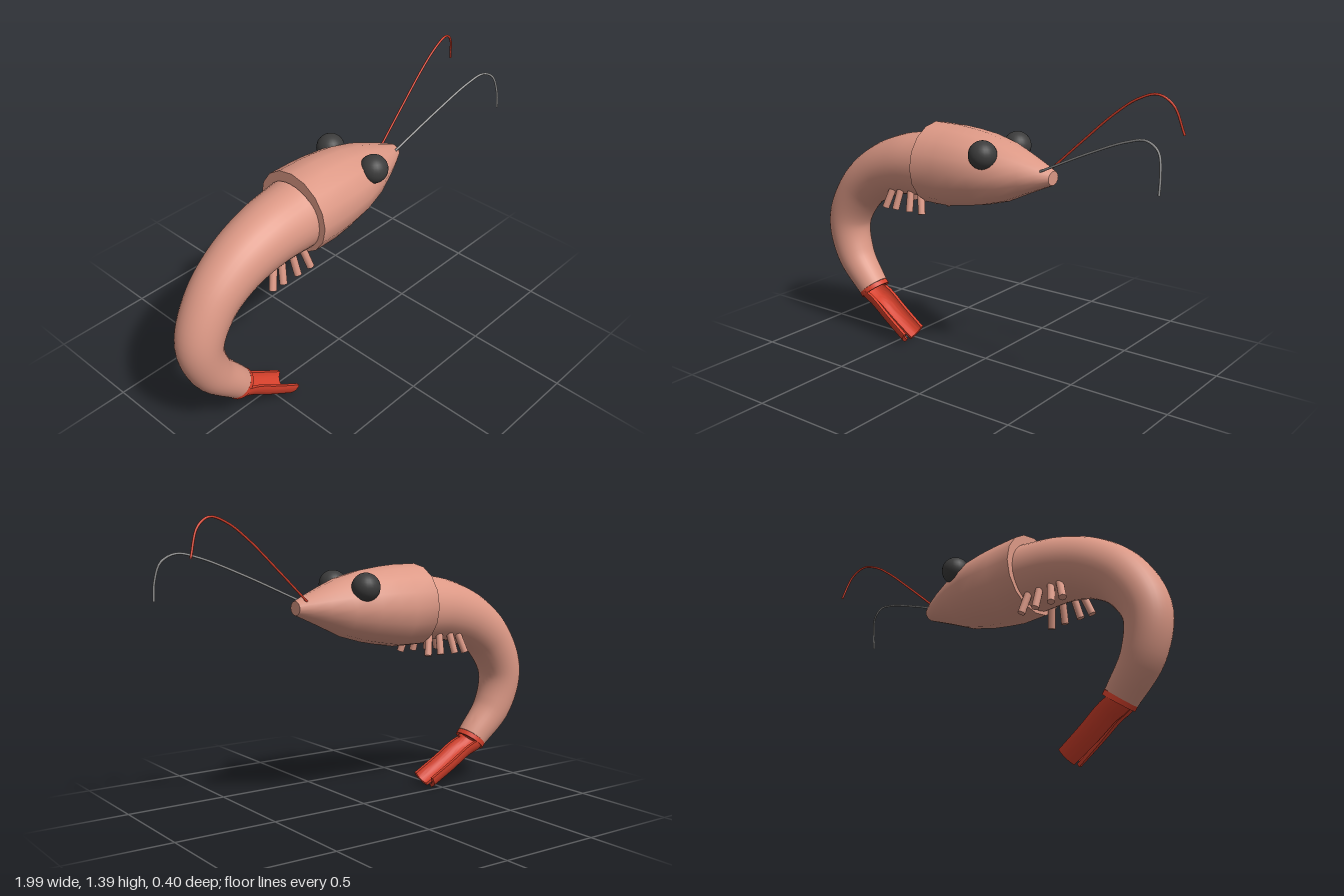
import * as THREE from 'three';
import { toCreasedNormals } from 'three/addons/utils/BufferGeometryUtils.js';

const mat = (name, color, side = THREE.FrontSide) => {
  const m = new THREE.MeshStandardMaterial({ color, side });
  m.name = name;
  return m;
};

// Skins a list of closed rings (Vector3 arrays) and caps both ends
function skin(rings) {
  const n = rings[0].length, pos = [], idx = [];
  rings.forEach(r => r.forEach(p => pos.push(p.x, p.y, p.z)));
  for (let i = 0; i < rings.length - 1; i++)
    for (let j = 0; j < n; j++) {
      const a = i * n + j, b = i * n + (j + 1) % n;
      idx.push(a, b, a + n, b, b + n, a + n);
    }
  const last = (rings.length - 1) * n;
  for (let j = 0; j < n / 2 - 1; j++) {
    const q = [j, j + 1, n - 2 - j, n - 1 - j];
    idx.push(q[0], q[2], q[1], q[0], q[3], q[2]);
    const [a, b, c, d] = q.map(k => k + last);
    idx.push(a, b, c, a, c, d);
  }
  const g = new THREE.BufferGeometry();
  g.setAttribute('position', new THREE.Float32BufferAttribute(pos, 3));
  g.setIndex(idx);
  return toCreasedNormals(g, 0.9);
}

// Point on a section: angle 0 is the upper side, PI/2 is +z
function around(c, t, ry, rz, a) {
  const l = Math.hypot(t.x, t.y), y = Math.cos(a) * ry;
  return new THREE.Vector3(c.x - t.y / l * y, c.y + t.x / l * y, c.z + Math.sin(a) * rz);
}

const circle = (c, t, r, n = 32, rz = r) =>
  Array.from({ length: n }, (_, j) => around(c, t, r, rz, j / n * Math.PI * 2));

// Thick-walled arc section from angle a0 to a1
function arc(c, t, r, wall, a0, a1, n = 14) {
  const out = [], inn = [];
  for (let j = 0; j <= n; j++) {
    const a = a0 + (a1 - a0) * j / n;
    out.push(around(c, t, r, r, a));
    inn.unshift(around(c, t, r - wall, r - wall, a));
  }
  return [...out, ...inn];
}

export function createModel() {
  const g = new THREE.Group();
  const shell = mat('shellPink', 0xdd9986);
  const red = mat('fanRed', 0xd8412c, THREE.DoubleSide);
  const dark = mat('eyeBlack', 0x3c3c3c);
  const grey = mat('feelerGrey', 0x959595);
  const V = (x, y, z = 0) => new THREE.Vector3(x, y, z);
  const add = (name, geo, m) => {
    const mesh = new THREE.Mesh(geo, m);
    mesh.name = name;
    g.add(mesh);
    return mesh;
  };

  // Head: x, bottom, top, half width
  const head = [
    [-0.3, 0.77, 1.168, 0.2], [-0.17, 0.77, 1.167, 0.2], [-0.08, 0.785, 1.16, 0.196],
    [0.02, 0.805, 1.147, 0.185], [0.14, 0.84, 1.118, 0.153], [0.25, 0.893, 1.075, 0.108],
    [0.32, 0.925, 1.045, 0.075], [0.38, 0.952, 1.018, 0.04]];
  add('head', skin(head.map(([x, b, t, w]) =>
    circle(V(x, (b + t) / 2), V(1, 0), (t - b) / 2, 16, w))), shell);

  // Curled body: centre and radius
  const body = [
    [-0.29, 0.955, 0, 0.166], [-0.47, 0.935, 0, 0.152], [-0.65, 0.872, 0, 0.136],
    [-0.8, 0.757, 0.003, 0.121], [-0.89, 0.58, 0.01, 0.109], [-0.85, 0.4, 0.018, 0.097],
    [-0.72, 0.245, 0.03, 0.078]];
  const curve = new THREE.CatmullRomCurve3(body.map(p => V(p[0], p[1], p[2])));
  const rings = [];
  for (let i = 0; i <= 40; i++) {
    const u = i / 40, s = u * 6, k = Math.min(5, Math.floor(s));
    const r = THREE.MathUtils.lerp(body[k][3], body[k + 1][3], s - k);
    rings.push(circle(curve.getPoint(u), curve.getTangent(u), r));
  }
  add('body', skin(rings), shell);

  // Red end plate and rim of the body
  const end = V(-0.72, 0.245, 0.03), dir = V(0.62, -0.78);
  const ahead = d => end.clone().addScaledVector(dir, d);
  add('endPlate', skin([circle(ahead(-0.002), dir, 0.07), circle(ahead(0.004), dir, 0.07)]), red);
  add('endRim', skin([0, 0.024].map(d => arc(ahead(d), dir, 0.078, 0.016, 0, Math.PI * 2, 32))), red);

  // Tail fan: two curved, hollow halves parted along the bottom
  const fan = new THREE.CatmullRomCurve3([
    end, V(-0.65, 0.218, 0.037), V(-0.55, 0.153, 0.046), V(-0.42, 0.075, 0.058)]);
  for (const s of [1, -1]) {
    const sections = [];
    for (let i = 0; i <= 10; i++) {
      const u = i / 10, gap = 0.03 + 0.2 * u * u;
      const t = u === 0 ? dir : fan.getTangent(u);
      const a0 = Math.PI * 0.5, a1 = Math.PI - gap;
      const range = s > 0 ? [a0, a1] : [2 * Math.PI - a1, 2 * Math.PI - a0];
      sections.push(arc(fan.getPoint(u), t, 0.077 - 0.002 * u, 0.017, ...range));
    }
    add(s > 0 ? 'leftTailFan' : 'rightTailFan', skin(sections), red);
  }

  // Eyes
  for (const s of [1, -1])
    add(s > 0 ? 'leftEye' : 'rightEye', new THREE.SphereGeometry(0.067, 24, 16), dark)
      .position.set(0.085, 1.076, s * 0.135);

  // Four pairs of short legs: top x, foot x
  const legs = [[-0.5, -0.54], [-0.455, -0.475], [-0.395, -0.385], [-0.335, -0.305]];
  for (const s of [1, -1])
    for (const [x0, x1] of legs) {
      const a = V(x0, 0.85, s * 0.08), b = V(x1, 0.725, s * 0.11), d = a.clone().sub(b);
      const leg = add('leg', new THREE.CylinderGeometry(0.018, 0.018, d.length(), 10), shell);
      leg.position.copy(a).add(b).multiplyScalar(0.5);
      leg.quaternion.setFromUnitVectors(V(0, 1, 0), d.normalize());
    }

  // Feelers
  const feeler = (name, pts, m) => add(name, new THREE.TubeGeometry(
    new THREE.CatmullRomCurve3(pts.map(p => V(...p))), 48, 0.0055, 8), m);
  feeler('rightFeeler', [[0.34, 1.015, -0.04], [0.5, 1.165, -0.05], [0.65, 1.3, -0.06],
    [0.75, 1.37, -0.067], [0.84, 1.397, -0.078], [0.905, 1.355, -0.095], [0.95, 1.23, -0.12]], red);
  feeler('leftFeeler', [[0.34, 1.02, 0.047], [0.6, 1.14, 0.08], [0.8, 1.22, 0.105],
    [0.9, 1.24, 0.12], [0.965, 1.205, 0.136], [0.988, 1.12, 0.155], [0.99, 1.035, 0.163]], grey);

  return g;
}
